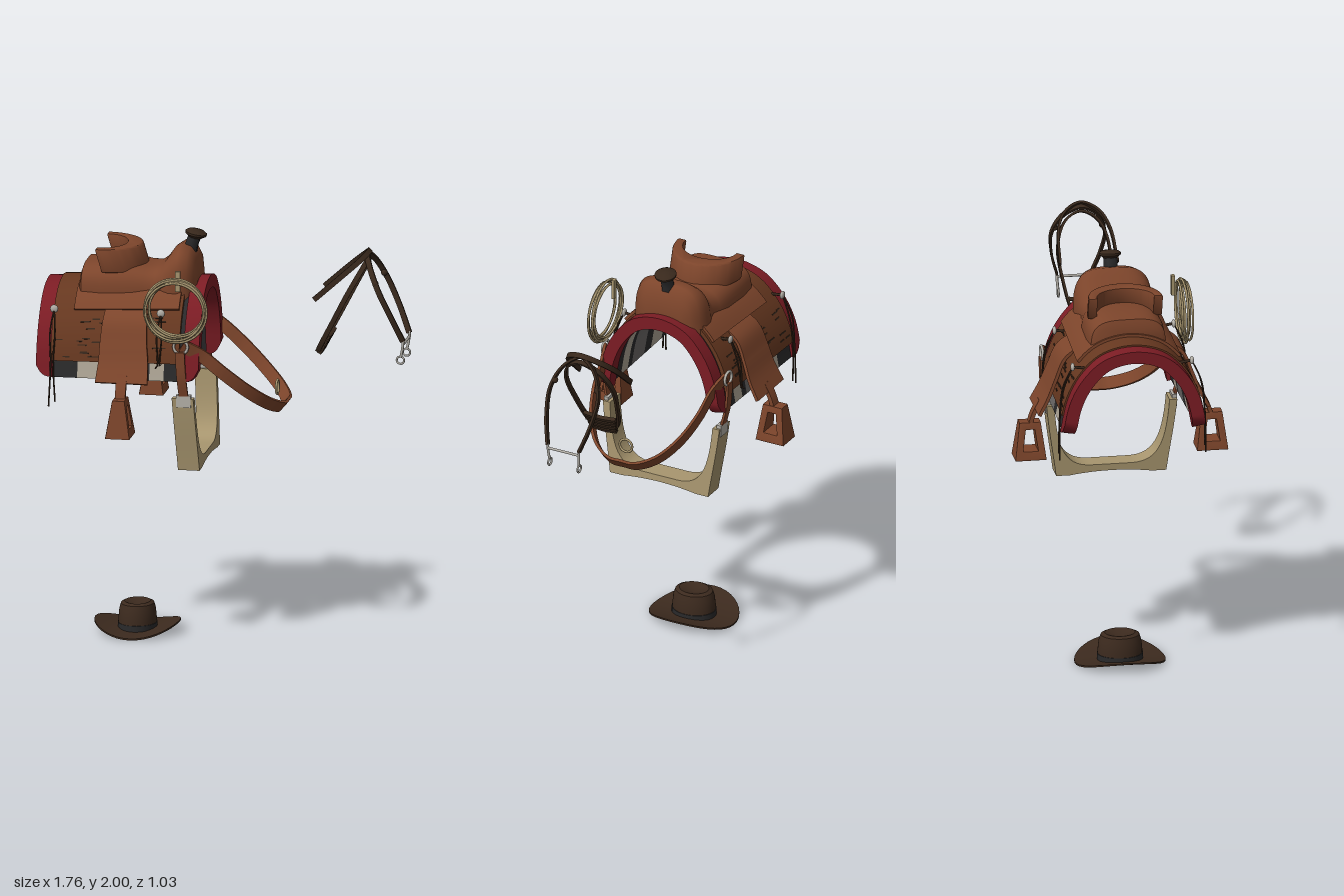
import * as THREE from 'three';
import { toCreasedNormals } from 'three/addons/utils/BufferGeometryUtils.js';

const mat = (name, color) => new THREE.MeshStandardMaterial({ name, color });
const V = (x, y, z) => new THREE.Vector3(x, y, z);

export function createModel() {
  const model = new THREE.Group();
  const leather = mat('saddle leather', 0x7d452b), skirtBrown = mat('skirt leather', 0x673820);
  const red = mat('red binding', 0x7c1c24), black = mat('black wool', 0x2a2a2b);
  const cream = mat('cream wool', 0xb0a797), grey = mat('grey wool', 0x6d6a68);
  const tan = mat('tan fleece and rope', 0xa8966f), dark = mat('dark leather', 0x38281c);
  const silver = mat('silver metal', 0xb4b0a8), hatFelt = mat('hat felt', 0x3c2a1e);

  const add = (name, geo, material, crease = 0.7) => {
    const mesh = new THREE.Mesh(crease ? toCreasedNormals(geo, crease) : geo, material);
    mesh.name = name;
    model.add(mesh);
    return mesh;
  };
  // move every vertex of a geometry by a rule
  const warp = (geo, rule) => {
    const p = geo.attributes.position, v = V(0, 0, 0);
    for (let i = 0; i < p.count; i++) {
      v.fromBufferAttribute(p, i);
      rule(v);
      p.setXYZ(i, v.x, v.y, v.z);
    }
    geo.computeVertexNormals();
    return geo;
  };

  // arch of the horse's back, from right side (-z) over the top to the left
  const half = [[0.14, 1.705], [0.237, 1.61], [0.297, 1.49], [0.332, 1.32]];
  const arch = new THREE.CatmullRomCurve3([
    ...half.map(([z, y]) => V(0, y, -z)).reverse(), V(0, 1.74, 0), ...half.map(([z, y]) => V(0, y, z))]);
  // layer lying on the arch: x range, s range (-1..1 across), offset range
  const shell = (name, [x0, x1], [s0, s1], [o0, o1], material, round = 0) => {
    const n = Math.max(1, Math.round((s1 - s0) * 24));
    add(name, warp(new THREE.BoxGeometry(1, 1, 1, 4, 1, n), v => {
      const k = Math.max(0, v.x * Math.sign(round) + 0.5);
      const s = THREE.MathUtils.lerp(s0, s1, v.z + 0.5) * (1 - Math.abs(round) * k ** 3);
      const u = THREE.MathUtils.clamp(0.5 + s / 2, 0, 1);
      const p = arch.getPointAt(u), t = arch.getTangentAt(u);
      const o = THREE.MathUtils.lerp(o0, o1, v.y + 0.5);
      const x = THREE.MathUtils.lerp(x0, x1, v.x + 0.5);
      const y = p.y + t.z * o, z = p.z - t.y * o;
      v.set(x, y + 0.05 * (x + 0.48) * (y - 1.32) / 0.42, z * (1 - 0.06 * (x + 0.48)));
    }), material);
  };
  // flat strap swept along a path, width taken along a fixed direction
  const strap = (name, pts, width, thick, across, material) => {
    const curve = new THREE.CatmullRomCurve3(pts);
    const w = typeof width === 'function' ? width : () => width;
    return add(name, warp(new THREE.BoxGeometry(1, 1, 1, 1, 1, 10 * (pts.length - 1)), v => {
      const t = v.z + 0.5, T = curve.getTangent(t);
      const W = across.clone().addScaledVector(T, -across.dot(T)).normalize();
      const N = T.clone().cross(W);
      v.copy(curve.getPoint(t).addScaledVector(W, v.x * w(t)).addScaledVector(N, v.y * thick));
    }), material);
  };
  // mirrored loop: half path starting on the centre plane
  const loop = (pts) => [...pts.slice(1).map(([x, y, z]) => V(x, y, -z)).reverse(),
    ...pts.map(([x, y, z]) => V(x, y, z))];
  const cord = (name, pts, r, material) =>
    add(name, new THREE.TubeGeometry(new THREE.CatmullRomCurve3(pts), 16, r, 6), material, 0);

  // striped blanket with thick red end bindings
  const stripes = [[-0.82, -0.68, black], [-0.68, -0.57, cream], [-0.57, -0.50, black], [-0.50, -0.37, grey],
    [-0.37, -0.33, black], [-0.33, -0.26, cream], [-0.26, -0.16, black]];
  stripes.forEach(([a, b, m]) => shell('blanketStripe', [a, b], [-1, 1], [-0.03, 0], m));
  shell('blanketRearBinding', [-0.88, -0.80], [-1, 1], [-0.05, 0.012], red, -0.1);
  shell('blanketFrontBinding', [-0.165, -0.09], [-1, 1], [-0.05, 0.012], red, 0.1);

  // skirt, upper jockey and dark tooled slits
  shell('skirt', [-0.81, -0.185], [-0.86, 0.86], [0, 0.02], skirtBrown);
  shell('seatJockey', [-0.71, -0.2], [-0.44, 0.44], [0.02, 0.034], leather);
  let seed = 7;
  const rand = () => (seed = (seed * 16807) % 2147483647) / 2147483647;
  for (let i = 0; i < 60; i++) {
    const x = -0.79 + rand() * 0.52, s = (0.46 + rand() * 0.36) * (i % 2 ? 1 : -1);
    shell('skirtSlit', [x, x + 0.025 + rand() * 0.04], [s, s + 0.01], [0.018, 0.023], dark);
  }

  // seat and pommel lofted along x: x, half width, top, base
  const stations = [[-0.70, 0.165, 1.80, 1.67], [-0.69, 0.182, 1.83, 1.66], [-0.6, 0.19, 1.838, 1.65],
    [-0.45, 0.188, 1.838, 1.65], [-0.39, 0.18, 1.825, 1.65], [-0.335, 0.172, 1.825, 1.65],
    [-0.3, 0.178, 1.85, 1.65], [-0.265, 0.19, 1.9, 1.66], [-0.225, 0.192, 1.928, 1.67],
    [-0.18, 0.175, 1.92, 1.68], [-0.15, 0.14, 1.87, 1.70], [-0.138, 0.1, 1.80, 1.72]];
  const J = 28, pos = [], idx = [];
  for (const [x, w, top, base] of stations) for (let j = 0; j <= J; j++) {
    const a = Math.PI * j / J, c = Math.cos(a);
    pos.push(x, base + (top - base) * Math.sqrt(Math.max(0, Math.sin(a))), w * Math.sign(c) * Math.abs(c) ** 0.6);
  }
  const last = (stations.length - 1) * (J + 1), ends = stations.length * (J + 1);
  pos.push(-0.70, 1.75, 0, -0.138, 1.76, 0);
  for (let j = 0; j < J; j++) {
    for (let a = j; a < last; a += J + 1) idx.push(a, a + J + 1, a + 1, a + 1, a + J + 1, a + J + 2);
    idx.push(ends, j, j + 1, ends + 1, last + j + 1, last + j);
  }
  const seat = new THREE.BufferGeometry();
  seat.setAttribute('position', new THREE.Float32BufferAttribute(pos, 3));
  seat.setIndex(idx);
  add('seatAndPommel', seat, leather, 0.9);

  // crescent cantle
  const crescent = new THREE.Shape();
  crescent.absellipse(-0.585, 0, 0.185, 0.172, -Math.PI / 2, Math.PI / 2, false);
  crescent.absellipse(-0.585, 0, 0.125, 0.145, Math.PI / 2, -Math.PI / 2, true);
  const cantle = new THREE.ExtrudeGeometry(crescent, { depth: 0.1, curveSegments: 20,
    bevelSize: 0.008, bevelThickness: 0.008, bevelSegments: 2 });
  cantle.rotateX(-Math.PI / 2).translate(0, 1.812, 0);
  add('cantle', warp(cantle, v => { v.x -= (v.y - 1.82) * 0.3; }), leather);

  // horn
  cord('hornNeck', [V(-0.19, 1.88, 0), V(-0.18, 1.93, 0), V(-0.163, 1.975, 0)], 0.034, black);
  const cap = add('hornCap', new THREE.LatheGeometry([[0, -0.022], [0.03, -0.02], [0.052, -0.004], [0.053, 0.006],
    [0.04, 0.015], [0, 0.02]].map(p => new THREE.Vector2(...p)), 28), dark);
  cap.position.set(-0.162, 1.976, 0);
  cap.rotation.z = -0.2;

  // parts on both sides
  for (const s of [1, -1]) {
    const S = (x, y, z) => V(x, y, z * s), X = V(1, 0, 0);
    strap('fender', [S(-0.455, 1.665, 0.19), S(-0.455, 1.6, 0.285), S(-0.455, 1.5, 0.33), S(-0.45, 1.41, 0.365),
      S(-0.45, 1.32, 0.412)], t => 0.2 + 0.055 * t, 0.016, X, leather);
    strap('stirrupLeather', [S(-0.45, 1.36, 0.39), S(-0.45, 1.29, 0.425), S(-0.45, 1.235, 0.442)], 0.05, 0.02, X, leather);

    // stirrup frame, wider towards the tread
    const frame = new THREE.Shape([[-0.068, 0], [0.068, 0], [0.045, 0.17], [-0.045, 0.17]].map(p => new THREE.Vector2(...p)));
    frame.holes.push(new THREE.Path([[-0.045, 0.03], [-0.028, 0.15], [0.028, 0.15], [0.045, 0.03]].map(p => new THREE.Vector2(...p))));
    const stirrup = new THREE.ExtrudeGeometry(frame, { depth: 1, bevelSize: 0.007, bevelThickness: 0.02, bevelSegments: 2 });
    stirrup.translate(0, 0, -0.5).rotateY(-Math.PI / 2);
    add('stirrup', warp(stirrup, v => { v.x *= 0.115 - 0.32 * v.y; }), leather).position.set(-0.45, 1.077, 0.442 * s);

    // conchos with hanging strings
    for (const [x, end] of [[-0.80, 1.19], [-0.28, 1.40]]) {
      const concho = add('concho', new THREE.SphereGeometry(0.02, 16, 10), silver, 0);
      concho.position.set(x, 1.645, 0.29 * s);
      concho.scale.z = 0.5;
      cord('conchoStalk', [S(x, 1.635, 0.22), S(x, 1.645, 0.29)], 0.007, dark);
      for (const d of [-0.012, 0.012]) cord('saddleString', [S(x, 1.645, 0.29), S(x + d, 1.54, 0.335),
        S(x + d / 2, 1.4, 0.352), S(x + d * 1.3, end + d, 0.355)], 0.004, dark);
    }

    // rigging ring, cinch strap and buckle
    add('riggingRing', new THREE.TorusGeometry(0.034, 0.007, 8, 24), silver, 0).position.set(-0.175, 1.495, 0.335 * s);
    strap('cinchStrap', [S(-0.178, 1.47, 0.34), S(-0.172, 1.35, 0.335), S(-0.163, 1.23, 0.31)], 0.045, 0.012, X, leather);
    add('cinchBuckle', new THREE.BoxGeometry(0.072, 0.06, 0.024), silver).position.set(-0.165, 1.222, 0.308 * s);
  }

  // fleece cinch under the belly
  const cinch = new THREE.Shape();
  cinch.moveTo(0.318, 1.235);
  cinch.bezierCurveTo(0.305, 1.1, 0.285, 1.0, 0.268, 0.87);
  cinch.lineTo(0.2, 0.87);
  cinch.quadraticCurveTo(0, 0.9, -0.2, 0.87);
  cinch.lineTo(-0.268, 0.87);
  cinch.bezierCurveTo(-0.285, 1.0, -0.305, 1.1, -0.318, 1.235);
  cinch.lineTo(-0.28, 1.235);
  cinch.bezierCurveTo(-0.265, 1.0, -0.22, 0.92, -0.1, 0.918);
  cinch.lineTo(0.1, 0.918);
  cinch.bezierCurveTo(0.22, 0.92, 0.265, 1.0, 0.28, 1.235);
  const cinchGeo = new THREE.ExtrudeGeometry(cinch, { depth: 0.105, bevelEnabled: false, curveSegments: 14 });
  cinchGeo.rotateY(-Math.PI / 2).translate(-0.117, 0, 0);
  add('cinch', warp(cinchGeo, v => { v.x += (1.235 - v.y) * 0.06; }), tan);

  // breast collar and its ring
  strap('breastCollar', loop([[0.27, 1.155, 0], [0.268, 1.157, 0.07], [0.22, 1.195, 0.165], [0.13, 1.27, 0.24],
    [0.02, 1.365, 0.285], [-0.08, 1.448, 0.3], [-0.17, 1.5, 0.325]]), 0.062, 0.014, V(0.65, 0.76, 0), leather);
  const ring = add('collarRing', new THREE.TorusGeometry(0.034, 0.006, 8, 24), tan, 0);
  ring.position.set(0.235, 1.235, 0);
  ring.rotation.y = Math.PI / 2;

  // coiled rope on the left side
  for (let i = 0; i < 6; i++) {
    const coil = add('ropeCoil', new THREE.TorusGeometry(0.135 + 0.006 * (i % 4), 0.006, 6, 48), tan, 0);
    coil.position.set(-0.195 + 0.007 * Math.sin(i * 2), 1.68 + 0.007 * Math.cos(i * 3), 0.33 + 0.008 * i);
    coil.rotation.y = 0.03 * (i % 3 - 1);
  }
  add('ropeKeeper', new THREE.BoxGeometry(0.025, 0.1, 0.016), tan).position.set(-0.195, 1.81, 0.3);

  // bridle: reins, noseband and cheek straps meeting at the crown
  strap('rearStrap', loop([[0.685, 1.93, 0], [0.655, 1.9, 0.08], [0.58, 1.835, 0.125], [0.44, 1.71, 0.14]]),
    0.026, 0.012, V(-0.67, 0.74, 0), dark);
  strap('noseLoop', loop([[0.68, 1.89, 0], [0.66, 1.85, 0.08], [0.60, 1.74, 0.125], [0.52, 1.585, 0.11],
    [0.465, 1.48, 0.085], [0.443, 1.435, 0.06]]), 0.024, 0.012, V(-0.89, 0.46, 0), dark);
  for (let i = 0; i < 4; i++) strap('noseband', loop([[0.45 + 0.014 * i, 1.425 + 0.026 * i, 0],
    [0.455 + 0.014 * i, 1.435 + 0.026 * i, 0.07 + 0.006 * i]]), 0.02, 0.018, V(-0.89, 0.46, 0), dark);
  strap('cheekStrap', loop([[0.675, 1.915, 0], [0.70, 1.87, 0.08], [0.75, 1.765, 0.13], [0.81, 1.635, 0.12],
    [0.863, 1.51, 0.085]]), 0.026, 0.012, V(0.91, 0.41, 0), dark);
  for (const s of [1, -1]) {
    cord('bitShank', [V(0.866, 1.52, 0.085 * s), V(0.86, 1.47, 0.083 * s), V(0.852, 1.43, 0.08 * s)], 0.007, silver);
    add('bitRing', new THREE.TorusGeometry(0.018, 0.005, 8, 18), silver, 0).position.set(0.85, 1.415, 0.08 * s);
    const rosette = add('rosette', new THREE.SphereGeometry(0.016, 12, 8), dark, 0);
    rosette.position.set(0.735, 1.795, 0.115 * s);
  }
  cord('bitBar', [V(0.865, 1.495, -0.085), V(0.865, 1.495, 0.085)], 0.007, silver);

  // hat: curled brim, dented crown and band
  const lathe = pts => new THREE.LatheGeometry(pts.map(p => new THREE.Vector2(...p)), 40);
  const rows = [0, 0.3, 0.55, 0.75, 0.9, 1];
  const brim = lathe([...rows.map(r => [r, -0.004]), ...rows.map(r => [r, 0.004]).reverse()]);
  add('hatBrim', warp(brim, v => {
    v.y += 0.012 + 0.045 * v.x * v.x - 0.006 * v.z * v.z;
    v.x *= 0.207; v.z *= 0.22;
  }), hatFelt).position.x = -0.447;
  const crown = lathe([[0.1, 0.01], [0.1, 0.06], [0.095, 0.11], [0.086, 0.138], [0.068, 0.147], [0.045, 0.14], [0, 0.125]]);
  add('hatCrown', warp(crown, v => { v.x *= 0.92; v.z *= 1.08; }), hatFelt).position.x = -0.447;
  const band = lathe([[0.1, 0.016], [0.103, 0.016], [0.103, 0.045], [0.1, 0.045]]);
  add('hatBand', warp(band, v => { v.x *= 0.92; v.z *= 1.08; }), black).position.x = -0.447;

  return model;
}
